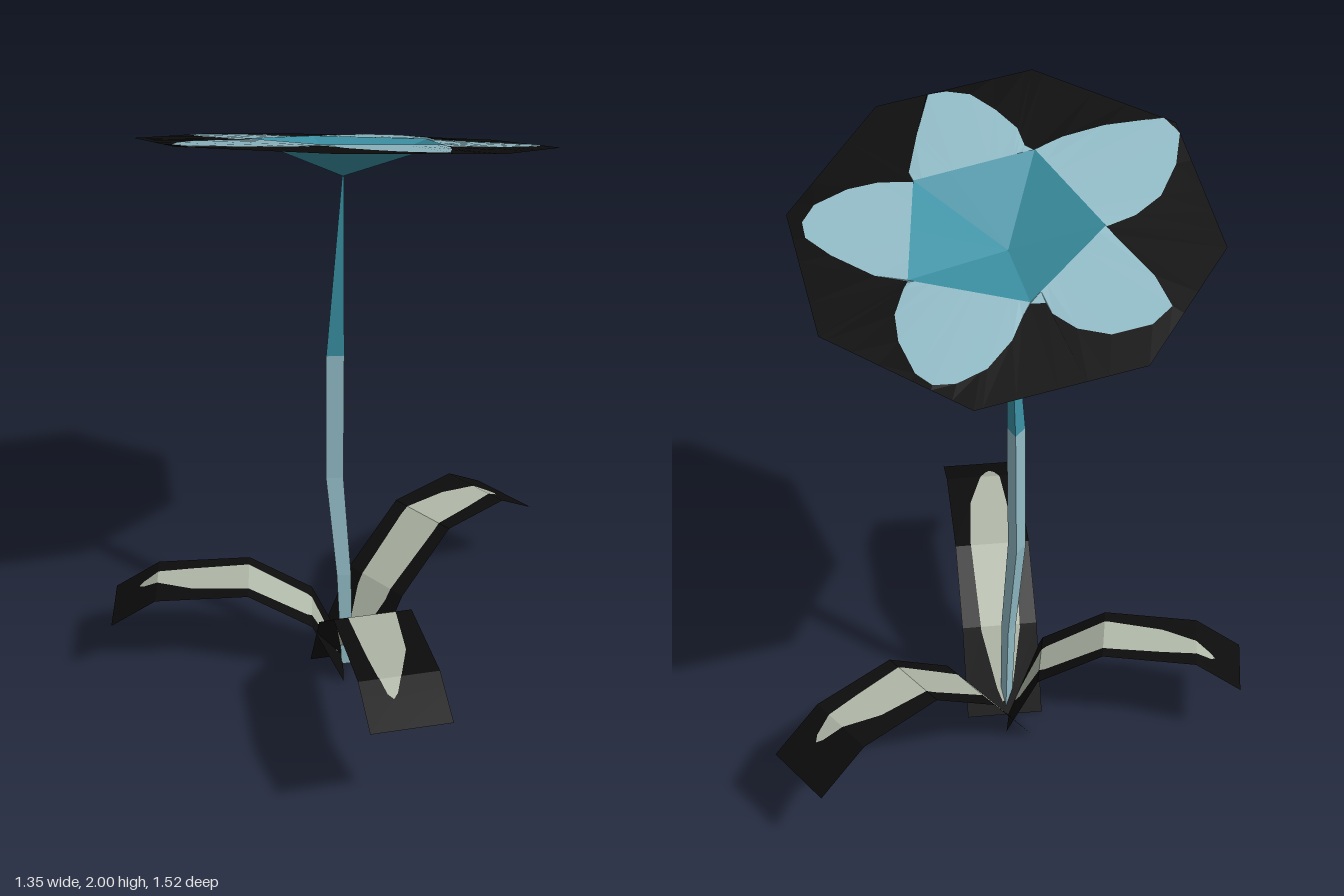
import * as THREE from 'three';

const mat = (name, color) =>
  Object.assign(new THREE.MeshStandardMaterial({ color, side: THREE.DoubleSide, flatShading: true }), { name });
const black = mat('black', 0x0c0c0c);
const sage = mat('sage', 0xb0b8a8);
const teal = mat('teal', 0x3b90a3);
const paleBlue = mat('paleBlue', 0x92bcc7);

// Skin a list of cross-sections (each a list of [x, y, z])
function loft(name, rows, material) {
  const pos = [];
  for (let i = 0; i + 1 < rows.length; i++) {
    for (let j = 0; j + 1 < rows[i].length; j++) {
      const a = rows[i][j], b = rows[i][j + 1], c = rows[i + 1][j + 1], d = rows[i + 1][j];
      pos.push(...a, ...d, ...b, ...b, ...d, ...c);
    }
  }
  const geo = new THREE.BufferGeometry();
  geo.setAttribute('position', new THREE.Float32BufferAttribute(pos, 3));
  geo.computeVertexNormals();
  const mesh = new THREE.Mesh(geo, material);
  mesh.name = name;
  return mesh;
}

// Linear interpolation in a table of [key, v1, v2, ...]
function sample(table, t, k) {
  let i = 1;
  while (i < table.length - 1 && table[i][0] < t) i++;
  const p = table[i - 1], q = table[i];
  const f = THREE.MathUtils.clamp((t - p[0]) / (q[0] - p[0]), 0, 1);
  return p[k] + (q[k] - p[k]) * f;
}

// Flower outlines in x, z
const CX = 0.055, CZ = -0.09;
const rim = [[0.045, -0.66], [0.48, -0.48], [0.65, -0.105], [0.48, 0.29], [0.06, 0.46],
  [-0.365, 0.3], [-0.54, -0.11], [-0.375, -0.49]];
const heart = [[-0.05, -0.335], [0.28, -0.295], [0.325, 0.03], [0.01, 0.165], [-0.215, -0.075]];
const petals = [
  [-0.05, -0.335], [-0.035, -0.38], [-0.02, -0.45], [0.03, -0.54], [0.1, -0.59], [0.16, -0.6], [0.21, -0.57],
  [0.27, -0.48], [0.295, -0.4], [0.287, -0.32], [0.28, -0.295],
  [0.37, -0.285], [0.5, -0.23], [0.58, -0.18], [0.6, -0.13], [0.58, -0.07], [0.5, -0.01], [0.42, 0.02],
  [0.325, 0.03], [0.343, 0.06], [0.345, 0.2], [0.34, 0.34], [0.29, 0.355], [0.22, 0.35], [0.14, 0.3],
  [0.07, 0.24], [0.04, 0.18], [0.01, 0.165], [-0.06, 0.22], [-0.17, 0.27], [-0.33, 0.31], [-0.38, 0.26],
  [-0.38, 0.15], [-0.35, 0.04], [-0.29, -0.03], [-0.215, -0.075],
  [-0.36, -0.22], [-0.415, -0.31], [-0.37, -0.37], [-0.27, -0.41], [-0.18, -0.4], [-0.11, -0.36], [-0.09, -0.33],
];
const angleOf = ([x, z]) => Math.atan2(z - CZ, x - CX);

// Distance from the flower centre to an outline along a direction
function reach(outline, angle) {
  const pts = [...outline].sort((p, q) => angleOf(p) - angleOf(q));
  const n = pts.length;
  let i = pts.findIndex((p) => angleOf(p) >= angle - 1e-9);
  if (i < 0) i = 0;
  const [x1, z1] = pts[(i + n - 1) % n], [x2, z2] = pts[i];
  const ex = x2 - x1, ez = z2 - z1;
  return ((x1 - CX) * ez - (z1 - CZ) * ex) / (Math.cos(angle) * ez - Math.sin(angle) * ex);
}

function flower() {
  const group = new THREE.Group();
  group.name = 'flower';
  const angles = [...rim, ...heart, ...petals].map(angleOf).sort((a, b) => b - a)
    .filter((a, i, all) => i === 0 || all[i - 1] - a > 1e-6);
  angles.push(angles[0]);
  const ring = (radius, lift) => angles.map((a) => {
    const r = radius(a), z = CZ + r * Math.sin(a);
    return [CX + r * Math.cos(a), 1.795 + (z + 0.1) * 0.373 + lift, z];
  });
  const heartR = (a) => reach(heart, a);
  const petalR = (a) => Math.max(reach(petals, a), heartR(a));
  const centre = angles.map(() => [0.05, 1.71, -0.065]);
  const inner = ring(heartR, 0.008), middle = ring(petalR, 0.004), outer = ring((a) => reach(rim, a), 0);
  group.add(
    loft('flowerHeart', [centre, inner], teal),
    loft('petals', [inner, middle], paleBlue),
    loft('flowerRim', [middle, outer], black),
  );
  return group;
}

// Three-sided stem: [x, y, z, radius]
function stem() {
  const group = new THREE.Group();
  group.name = 'stem';
  const rows = [[0.072, 0, -0.045, 0.02], [0.06, 0.35, -0.055, 0.026], [0.028, 0.7, -0.083, 0.031],
    [0.028, 1.13, -0.085, 0.031], [0.05, 1.71, -0.063, 0.003]]
    .map(([x, y, z, r]) => [0, 1, 2, 3].map((k) => {
      const a = (k % 3) * Math.PI * 2 / 3 + 0.4;
      return [x + r * Math.cos(a), y, z + r * Math.sin(a)];
    }));
  group.add(loft('lowerStem', rows.slice(0, 4), paleBlue), loft('upperStem', rows.slice(3), teal));
  return group;
}

// Stripe edges across a leaf: [fraction of length, one side, other side]
const stripe = [[0.025, -0.005, 0.005], [0.05, -0.03, 0.02], [0.16, -0.065, 0.06], [0.43, -0.075, 0.07],
  [0.66, -0.068, 0.052], [0.8, -0.06, 0.01], [0.87, -0.045, -0.015], [0.89, -0.03, -0.03]];

// Arched leaf: spine is [distance, height]
function leaf(name, [bx, bz], [tx, tz], width, spine) {
  const group = new THREE.Group();
  group.name = name;
  const length = Math.hypot(tx - bx, tz - bz);
  const dx = (tx - bx) / length, dz = (tz - bz) / length;
  const stops = [...spine.map((p) => p[0] / length), ...stripe.map((p) => p[0])].sort((a, b) => a - b);
  const point = (f, s) => [bx + dx * f * length + dz * s, sample(spine, f * length, 1), bz + dz * f * length - dx * s];
  const band = (left, right) => stops.map((f) => [point(f, left(f)), point(f, right(f))]);
  const k = width / 0.24;
  const s1 = (f) => sample(stripe, f, 1) * k, s2 = (f) => sample(stripe, f, 2) * k;
  const inStripe = (row, i) => stops[i] >= 0.025 && stops[i] <= 0.89;
  group.add(
    loft('leafEdge', band(() => -width / 2, s1), black),
    loft('leafEdge', band(s2, () => width / 2), black),
    loft('leafStripe', band(s1, s2).filter(inStripe), sage),
    loft('leafBase', band(s1, s2).filter((row, i) => stops[i] <= 0.025), black),
    loft('leafTip', band(s1, s2).filter((row, i) => stops[i] >= 0.89), black),
  );
  return group;
}

export function createModel() {
  const model = new THREE.Group();
  model.name = 'flowerPlant';
  model.add(
    flower(),
    stem(),
    leaf('frontLeaf', [0.07, -0.08], [0.288, 0.728], 0.24,
      [[0, 0], [0.14, 0.26], [0.35, 0.43], [0.68, 0.46], [0.837, 0.4]]),
    leaf('backLeaf', [0.06, -0.08], [0.588, -0.68], 0.235,
      [[0, 0], [0.15, 0.22], [0.37, 0.375], [0.64, 0.355], [0.8, 0.25]]),
    leaf('rightLeaf', [0.06, -0.05], [-0.67, 0], 0.21,
      [[0, 0], [0.1, 0.22], [0.3, 0.34], [0.59, 0.325], [0.732, 0.23]]),
  );
  return model;
}
